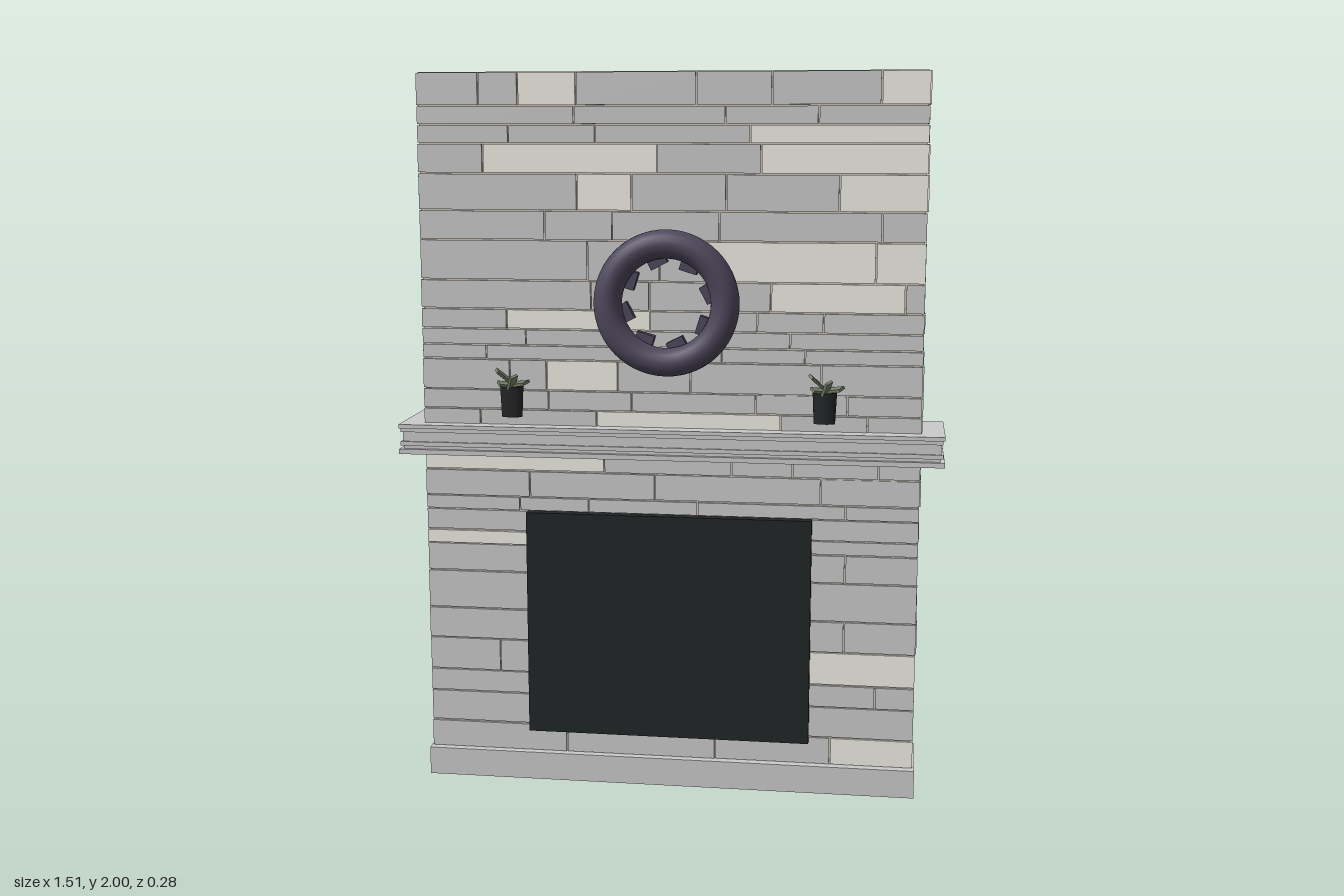
import * as THREE from 'three';

const mat = (color, flat = false) => new THREE.MeshStandardMaterial({ color, flatShading: flat });
const GREY = mat(0xcccccc), LIGHT = mat(0xf2f0e6), TAUPE = mat(0xcbc3b9);
const DARK = mat(0x222527), RUBBER = mat(0x4e485c), LEAF = mat(0x78836a, true);

function box(parent, name, material, x0, x1, y0, y1, z0, z1) {
  const m = new THREE.Mesh(new THREE.BoxGeometry(x1 - x0, y1 - y0, z1 - z0), material);
  m.position.set((x0 + x1) / 2, (y0 + y1) / 2, (z0 + z1) / 2);
  m.name = name;
  parent.add(m);
}

// Small seeded generator for stone widths and depths
function seeded(seed) {
  return () => (seed = (seed * 16807) % 2147483647) / 2147483647;
}

// Heights of the joints between courses, from the top down
const BEDS = [2, 1.91, 1.86, 1.81, 1.73, 1.63, 1.55, 1.44, 1.36, 1.305, 1.26, 1.22, 1.135, 1.08,
  1.03, 0.97, 0.905, 0.83, 0.79, 0.73, 0.69, 0.61, 0.5, 0.41, 0.315, 0.25, 0.16, 0.08];
const EDGE = 0.691, GAP = 0.002;
// Pale stones: course, left end, right end
const PALE = [[0, -0.41, -0.25], [0, 0.565, EDGE], [2, 0.22, EDGE], [3, -0.51, -0.03], [3, 0.25, EDGE],
  [4, -0.25, -0.1], [4, 0.46, EDGE], [6, 0.1, 0.56], [6, 0.56, EDGE], [7, 0.28, 0.64], [8, -0.45, -0.05],
  [11, -0.34, -0.14], [13, -0.2, 0.31], [15, -EDGE, -0.18], [19, -EDGE, -0.4], [23, 0.39, EDGE],
  [26, 0.46, EDGE]];

function stonework() {
  const g = new THREE.Group();
  g.name = 'stonework';
  const rand = seeded(4711);
  for (let row = 0; row < BEDS.length - 1; row++) {
    const y0 = BEDS[row + 1] + GAP, y1 = BEDS[row] - GAP;
    const stone = (material, x0, x1) => box(g, 'frontStone', material,
      x0 + (x0 > -EDGE ? GAP : 0), x1 - (x1 < EDGE ? GAP : 0), y0, y1, 0.05, 0.064 + rand() * 0.005);
    // Grey stones of varied width fill a run
    const fill = (from, to) => {
      while (to - from > 0.01) {
        const width = 0.16 + rand() * 0.32;
        const end = to - from - width < 0.1 ? to : from + width;
        stone(GREY, from, end);
        from = end;
      }
    };
    const pale = PALE.filter(([course]) => course === row);
    let x = -EDGE;
    for (const [, x0, x1] of pale) {
      fill(x, x0);
      stone(LIGHT, x0, x1);
      x = x1;
    }
    fill(x, EDGE);
    // One stone per course wraps each end
    for (const s of [-1, 1]) {
      const material = pale.some(([, x0, x1]) => x0 === s * EDGE || x1 === s * EDGE) ? LIGHT : GREY;
      const out = s * (0.69 + rand() * 0.005);
      box(g, 'sideStone', material, Math.min(out, s * 0.66), Math.max(out, s * 0.66), y0, y1, -0.132, 0.054);
    }
  }
  return g;
}

function mantel() {
  const g = new THREE.Group();
  g.name = 'mantel';
  // Layers: bottom, top, inset from the widest slab
  const layers = [[0.953, 0.967, 0], [0.965, 0.978, 0.012], [0.976, 0.988, 0.004],
    [0.986, 1.02, 0.01], [1.015, 1.028, 0.005], [1.026, 1.037, 0]];
  for (const [y0, y1, d] of layers) {
    box(g, 'mantelLayer', GREY, -0.755 + d, 0.755 - d, y0, y1, -0.14 + d * 0.1, 0.112 - d);
  }
  return g;
}

function wreath() {
  const g = new THREE.Group();
  g.name = 'wreath';
  const ring = new THREE.Mesh(new THREE.TorusGeometry(0.16, 0.039, 20, 56), RUBBER);
  ring.name = 'ring';
  g.add(ring);
  // Blocks around the inner rim
  const blocks = 8;
  for (let i = 0; i < blocks; i++) {
    const a = (i + 0.3) / blocks * Math.PI * 2;
    const b = new THREE.Mesh(new THREE.BoxGeometry(0.035, 0.05, 0.025), RUBBER);
    b.position.set(Math.cos(a) * 0.118, Math.sin(a) * 0.118, -0.018);
    b.rotation.z = a + 0.25;
    b.name = 'innerBlock';
    g.add(b);
  }
  g.position.set(0, 1.385, 0.104);
  return g;
}

function plant(x) {
  const g = new THREE.Group();
  g.name = 'pottedPlant';
  const pot = new THREE.Mesh(new THREE.CylinderGeometry(0.033, 0.029, 0.085, 20), DARK);
  pot.scale.z = 0.55;
  pot.position.y = 0.043;
  pot.name = 'pot';
  g.add(pot);
  // Leaves: x, y, z, length, tilt, turn
  const leaves = [[-0.015, 0.107, -0.002, 0.075, 2.3, 0.4], [0.022, 0.094, 0.006, 0.06, 0.35, -0.5],
    [0.004, 0.094, 0.014, 0.055, 1.2, -0.6], [-0.012, 0.09, 0.004, 0.05, 2.8, 0.5]];
  for (const [lx, ly, lz, len, tilt, turn] of leaves) {
    const leaf = new THREE.Mesh(new THREE.BoxGeometry(len, 0.008, 0.026), LEAF);
    leaf.position.set(lx, ly, lz);
    leaf.rotation.set(0.3, turn, tilt);
    leaf.name = 'leaf';
    g.add(leaf);
  }
  g.position.set(x, 1.062, 0.085);
  return g;
}

export function createModel() {
  const model = new THREE.Group();
  model.name = 'fireplace';
  box(model, 'core', TAUPE, -0.687, 0.687, 0.02, 2.0, -0.137, 0.06);
  box(model, 'base', GREY, -0.697, 0.697, 0, 0.08, -0.135, 0.085);
  box(model, 'firebox', DARK, -0.4, 0.4, 0.147, 0.79, 0.055, 0.089);
  model.add(stonework(), mantel(), wreath(), plant(-0.435), plant(0.43));
  return model;
}
